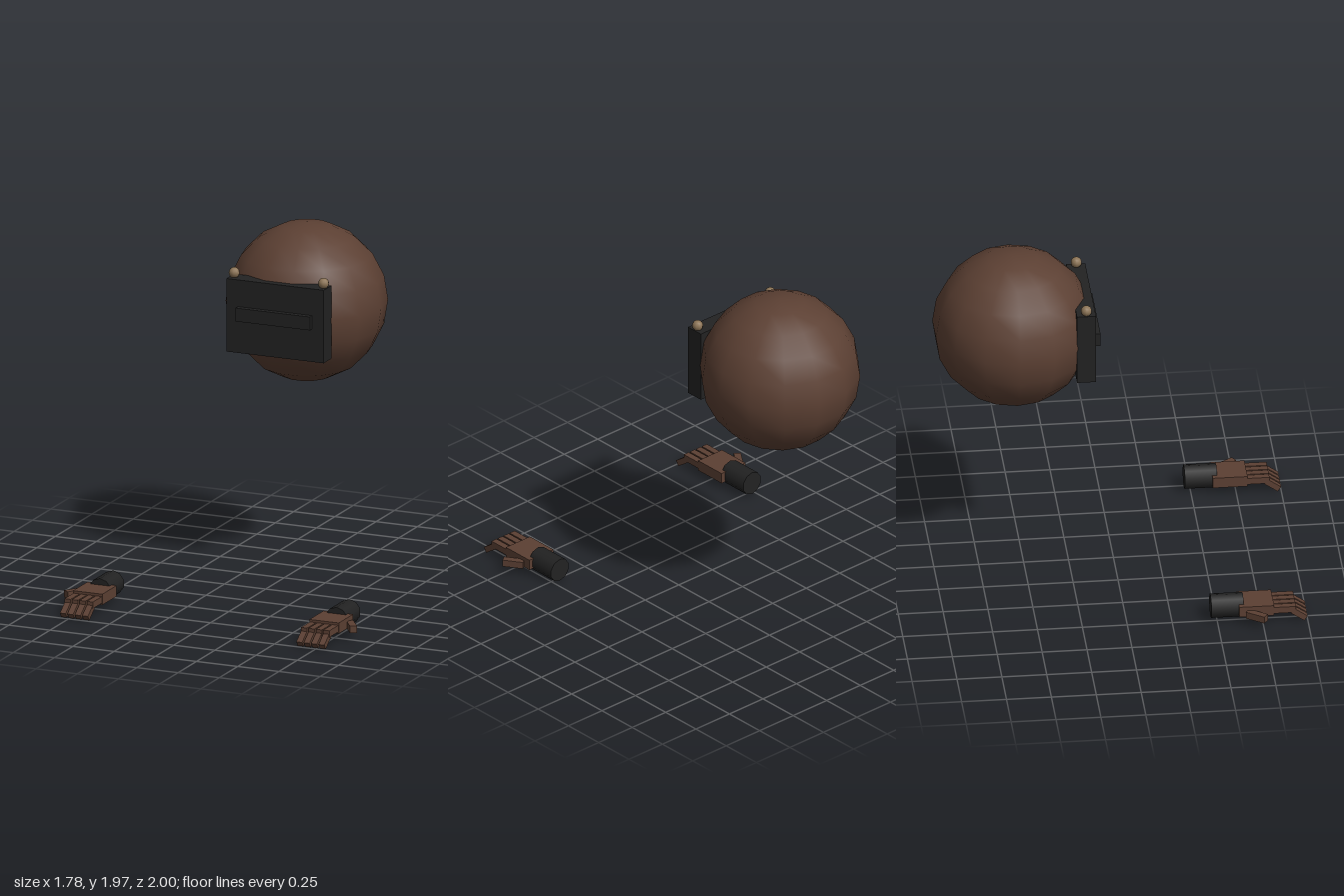
import * as THREE from 'three';

const brown = new THREE.MeshStandardMaterial({ name: 'brown', color: 0x5c4033 });
const black = new THREE.MeshStandardMaterial({ name: 'black', color: 0x222222 });
const tan = new THREE.MeshStandardMaterial({ name: 'tan', color: 0x8b7355 });

function add(parent, name, geometry, material, x, y, z) {
  const mesh = new THREE.Mesh(geometry, material);
  mesh.name = name;
  mesh.position.set(x, y, z);
  parent.add(mesh);
  return mesh;
}

const box = (w, h, d) => new THREE.BoxGeometry(w, h, d);

// One hand reaching toward +z, with its thumb on the outer side
function createHand(side) {
  const hand = new THREE.Group();
  hand.name = side > 0 ? 'leftHand' : 'rightHand';
  hand.position.set(side * 0.717, 0.077, 0);

  const cuff = add(hand, 'cuff', new THREE.CylinderGeometry(0.068, 0.068, 0.18, 10), black, 0, 0, 0.556);
  cuff.rotation.x = Math.PI / 2;
  add(hand, 'palm', box(0.178, 0.062, 0.194), brown, 0, 0, 0.715);

  // Four fingers, each with a bent tip
  for (let i = 0; i < 4; i++) {
    const x = (i - 1.5) * 0.045;
    add(hand, 'finger', box(0.037, 0.038, 0.125), brown, x, -0.002, 0.872);
    const tip = add(hand, 'fingertip', box(0.035, 0.034, 0.09), brown, x, -0.037, 0.953);
    tip.rotation.x = 0.61;
  }

  const thumb = add(hand, 'thumb', box(0.04, 0.04, 0.117), brown, side * 0.122, -0.012, 0.712);
  thumb.rotation.y = side * 0.6;
  return hand;
}

export function createModel() {
  const model = new THREE.Group();
  model.name = 'floatingHeadAndHands';

  // Head with a face plate and a raised visor bar
  const head = new THREE.Group();
  head.name = 'head';
  add(head, 'skull', new THREE.SphereGeometry(0.45, 14, 10), brown, 0, 1.52, -0.56);
  add(head, 'facePlate', box(0.59, 0.42, 0.106), black, 0, 1.511, -0.18);
  add(head, 'visorBar', box(0.45, 0.077, 0.04), black, 0, 1.529, -0.115);
  for (const side of [1, -1]) {
    add(head, 'knob', new THREE.SphereGeometry(0.031, 10, 8), tan, side * 0.271, 1.745, -0.179);
  }
  model.add(head);

  for (const side of [1, -1]) model.add(createHand(side));
  return model;
}
